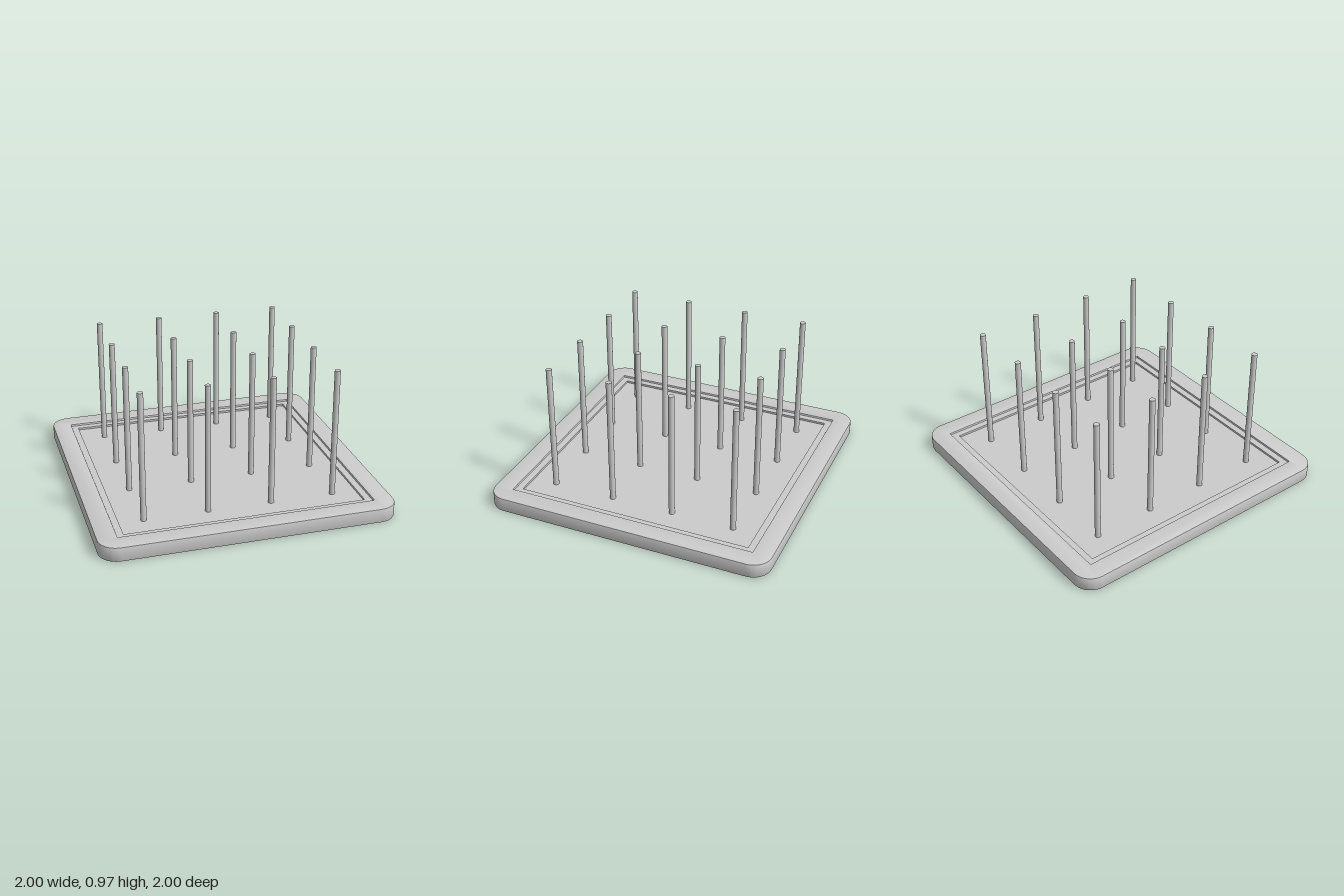
import * as THREE from 'three';
import { toCreasedNormals } from 'three/addons/utils/BufferGeometryUtils.js';

const material = new THREE.MeshStandardMaterial({ color: 0xcccccc });

function add(group, name, geometry, x = 0, y = 0, z = 0) {
  const mesh = new THREE.Mesh(geometry, material);
  mesh.name = name;
  mesh.position.set(x, y, z);
  group.add(mesh);
  return mesh;
}

// Square outline of half size h with corners of radius r
function square(path, h, r = 0) {
  path.moveTo(h, -h + r);
  path.lineTo(h, h - r);
  if (r) path.absarc(h - r, h - r, r, 0, Math.PI / 2);
  path.lineTo(-h + r, h);
  if (r) path.absarc(-h + r, h - r, r, Math.PI / 2, Math.PI);
  path.lineTo(-h, -h + r);
  if (r) path.absarc(-h + r, -h + r, r, Math.PI, Math.PI * 1.5);
  path.lineTo(h - r, -h);
  if (r) path.absarc(h - r, -h + r, r, Math.PI * 1.5, Math.PI * 2);
  path.closePath();
  return path;
}

// Flat square ring lying between heights y0 and y1
function ring(outer, radius, inner, y0, y1, bevel) {
  const shape = square(new THREE.Shape(), outer, radius);
  shape.holes.push(square(new THREE.Path(), inner));
  const geometry = new THREE.ExtrudeGeometry(shape, {
    depth: y1 - y0 - 2 * bevel,
    bevelEnabled: bevel > 0,
    bevelSize: bevel,
    bevelThickness: bevel,
    bevelOffset: -bevel,
    bevelSegments: 2,
    curveSegments: 12,
  });
  geometry.translate(0, 0, bevel);
  geometry.rotateX(-Math.PI / 2);
  geometry.translate(0, y0, 0);
  return toCreasedNormals(geometry, 0.5);
}

export function createModel() {
  const model = new THREE.Group();
  model.name = 'pegRack';

  // Tray: rounded frame, stepped ledge and recessed floor
  add(model, 'frame', ring(1, 0.13, 0.867, 0, 0.1, 0.006));
  add(model, 'ledge', ring(0.87, 0, 0.82, 0.01, 0.085, 0));
  add(model, 'floorPanel', new THREE.BoxGeometry(1.64, 0.05, 1.64), 0, 0.045, 0);

  // Four by four grid of upright pegs
  const pegs = new THREE.Group();
  pegs.name = 'pegs';
  model.add(pegs);
  const bottom = 0.06, top = 0.967, spacing = 0.435;
  const pegGeometry = new THREE.CylinderGeometry(0.02, 0.02, top - bottom, 24);
  for (let i = 0; i < 4; i++) {
    for (let j = 0; j < 4; j++) {
      add(pegs, 'peg', pegGeometry, (i - 1.5) * spacing, (top + bottom) / 2, (j - 1.5) * spacing);
    }
  }
  return model;
}
